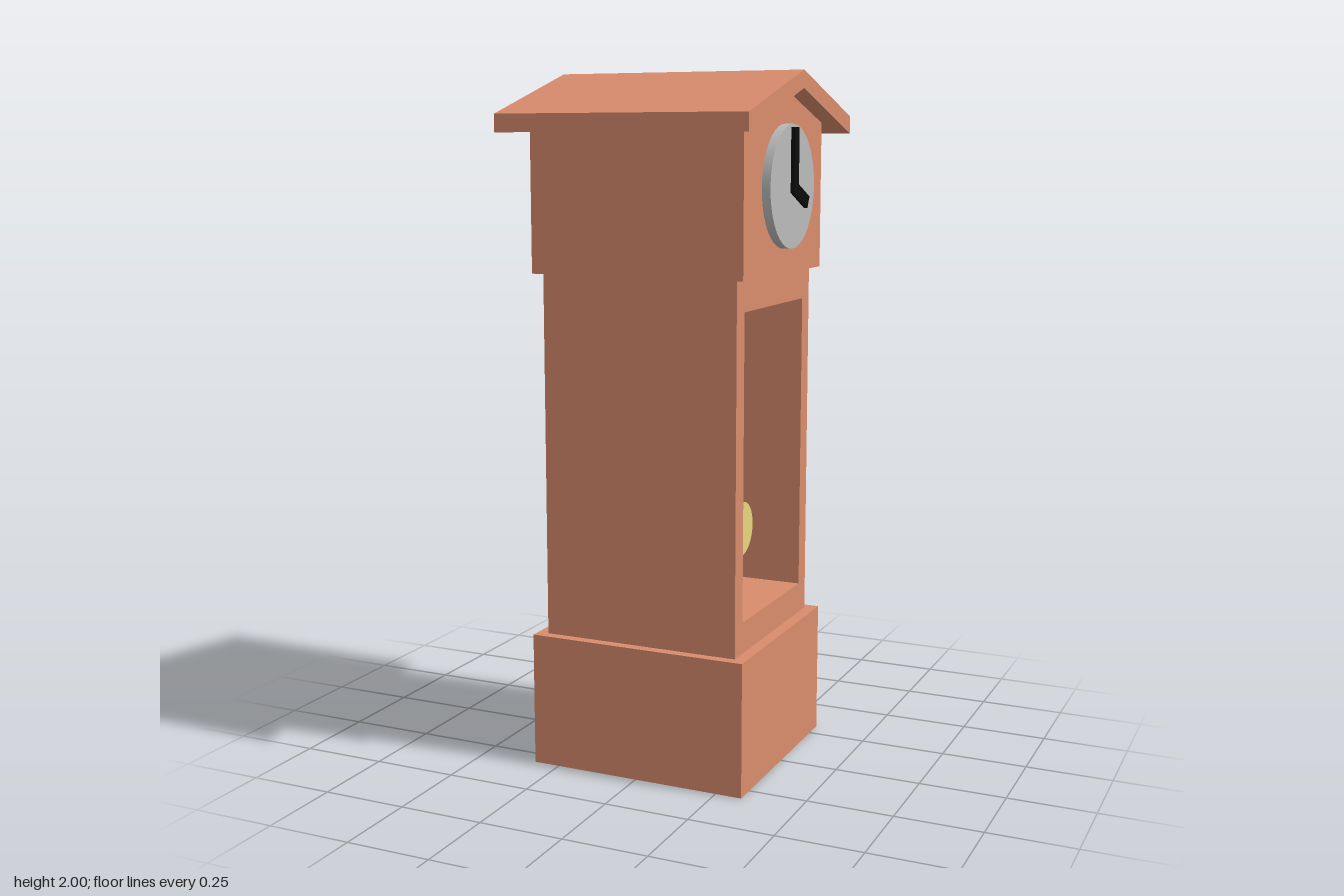
import * as THREE from 'three';

const mat = (color) => new THREE.MeshStandardMaterial({ color });

export function createModel() {
  const wood = mat(0xd98c6c);
  const brass = mat(0xe6d67c);
  const dialGrey = mat(0xbbbbbb);
  const black = mat(0x0c0c0c);

  // Built with the dial towards local +z, then turned so the dial faces +x
  const clock = new THREE.Group();
  clock.name = 'grandfatherClock';

  const add = (name, geometry, material, x = 0, y = 0, z = 0) => {
    const mesh = new THREE.Mesh(geometry, material);
    mesh.name = name;
    mesh.position.set(x, y, z);
    clock.add(mesh);
    return mesh;
  };
  const box = (name, w, h, d, material, x, y, z) =>
    add(name, new THREE.BoxGeometry(w, h, d), material, x, y, z);
  const outline = (points) => new THREE.Shape(points.map(([x, y]) => new THREE.Vector2(x, y)));
  const slab = (name, shape, z0, z1, material) =>
    add(name, new THREE.ExtrudeGeometry(shape, { depth: z1 - z0, bevelEnabled: false }), material, 0, 0, z0);
  const disc = (name, radius, z0, z1, y, material) => {
    const geometry = new THREE.CylinderGeometry(radius, radius, z1 - z0, 40);
    geometry.rotateX(Math.PI / 2);
    return add(name, geometry, material, 0, y, (z0 + z1) / 2);
  };

  // Plinth
  box('base', 0.62, 0.39, 0.656, wood, 0, 0.195, 0);

  // Hollow trunk: walls around the pendulum opening, closed by a back panel
  const trunk = outline([[-0.28, 0.39], [0.28, 0.39], [0.28, 1.44], [-0.28, 1.44]]);
  trunk.holes.push(outline([[-0.225, 0.48], [-0.225, 1.35], [0.225, 1.35], [0.225, 0.48]]));
  slab('trunkWalls', trunk, -0.24, 0.294, wood);
  box('trunkBack', 0.56, 1.05, 0.055, wood, 0, 0.915, -0.2675);

  // Gabled hood and roof
  slab('hood', outline([[-0.3, 1.44], [0.3, 1.44], [0.3, 1.86], [0, 1.95], [-0.3, 1.86]]), -0.32, 0.32, wood);
  slab('roof', outline([[-0.4, 1.83], [0, 1.95], [0.4, 1.83], [0.4, 1.88], [0, 2], [-0.4, 1.88]]), -0.374, 0.374, wood);

  // Dial with its pair of hands
  disc('dial', 0.172, 0.32, 0.345, 1.682, dialGrey);
  slab('hands', outline([
    [-0.018, 1.665], [0.09, 1.62], [0.105, 1.652], [0.018, 1.688], [0.018, 1.845], [-0.018, 1.845],
  ]), 0.345, 0.356, black);

  // Pendulum hanging inside the trunk
  box('pendulumRod', 0.058, 0.66, 0.04, brass, 0, 1.02, 0.17);
  disc('pendulumBob', 0.08, 0.14, 0.2, 0.69, brass);

  clock.rotation.y = Math.PI / 2;
  const model = new THREE.Group();
  model.add(clock);
  return model;
}
